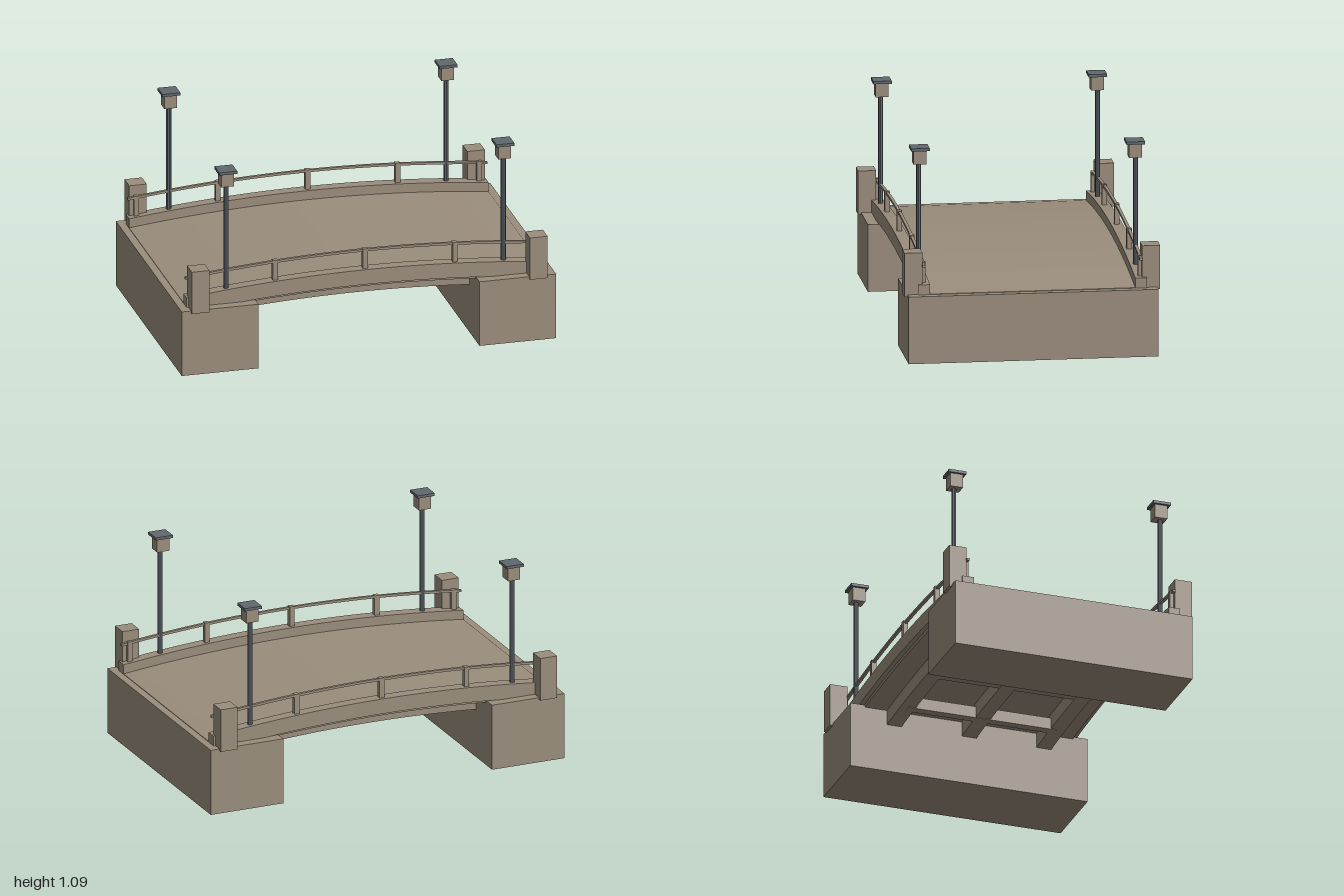
import * as THREE from 'three';

const stone = new THREE.MeshStandardMaterial({ color: 0x9a8d7c });
stone.name = 'stone';
const metal = new THREE.MeshStandardMaterial({ color: 0x60686e, flatShading: true });
metal.name = 'darkMetal';

const END = 0.96; // half length of the deck, curbs and rails
const drop = (x) => 0.056 * (x / END) ** 2; // fall of the arch away from the middle

export function createModel() {
  const model = new THREE.Group();
  model.name = 'bridge';

  const add = (name, geometry, material, x, y, z) => {
    const mesh = new THREE.Mesh(geometry, material);
    mesh.name = name;
    mesh.position.set(x, y, z);
    model.add(mesh);
  };

  // Box given by its centre in x and z and its bottom and top heights
  const box = (name, w, d, x, z, y0, y1, material = stone) =>
    add(name, new THREE.BoxGeometry(w, y1 - y0, d), material, x, (y0 + y1) / 2, z);

  // Arched bar along x; heights are those at mid-span
  const arch = (name, half, bottom, top, z, depth) => {
    const steps = 24;
    const shape = new THREE.Shape();
    for (let i = 0; i <= steps; i++) {
      const x = -half + (2 * half * i) / steps;
      if (i === 0) shape.moveTo(x, bottom - drop(x));
      else shape.lineTo(x, bottom - drop(x));
    }
    for (let i = steps; i >= 0; i--) {
      const x = -half + (2 * half * i) / steps;
      shape.lineTo(x, top - drop(x));
    }
    const geometry = new THREE.ExtrudeGeometry(shape, { depth, bevelEnabled: false });
    add(name, geometry, stone, 0, 0, z - depth / 2);
  };

  // Deck slab with girders and cross beams beneath
  arch('deck', END, 0.365, 0.415, 0, 1.14);
  for (const z of [-0.41, 0, 0.41]) arch('girder', 0.62, 0.285, 0.37, z, 0.08);
  for (const x of [-0.4, 0, 0.4]) {
    const y = 0.287 - drop(x);
    box('crossBeam', 0.05, 0.82, x, 0, y - (x ? 0.003 : 0), y + 0.06);
  }

  // Abutments
  for (const s of [-1, 1]) box('abutment', 0.41, 1.3, s * 0.795, 0, 0, 0.356);

  for (const side of [-1, 1]) {
    // Curb, handrail and its posts
    arch('curb', END, 0.383, 0.465, side * 0.565, 0.062);
    arch('handrail', END, 0.557, 0.57, side * 0.565, 0.016);
    for (const x of [-0.915, -0.48, 0, 0.48, 0.915]) {
      box('railPost', 0.026, 0.026, x, side * 0.565, 0.45 - drop(x), 0.573 - drop(x));
    }

    for (const s of [-1, 1]) {
      // End pillar
      box('endPillar', 0.094, 0.094, s * 0.903, side * 0.618, 0.345, 0.577);

      // Lamp: pole, lantern and cap
      const x = s * 0.74;
      add('lampPole', new THREE.CylinderGeometry(0.0135, 0.0135, 0.585, 8), metal, x, 0.7125, side * 0.565);
      box('lantern', 0.068, 0.068, x, side * 0.56, 1.002, 1.075);
      box('lampCap', 0.096, 0.096, x, side * 0.56, 1.075, 1.09, metal);
    }
  }

  return model;
}
